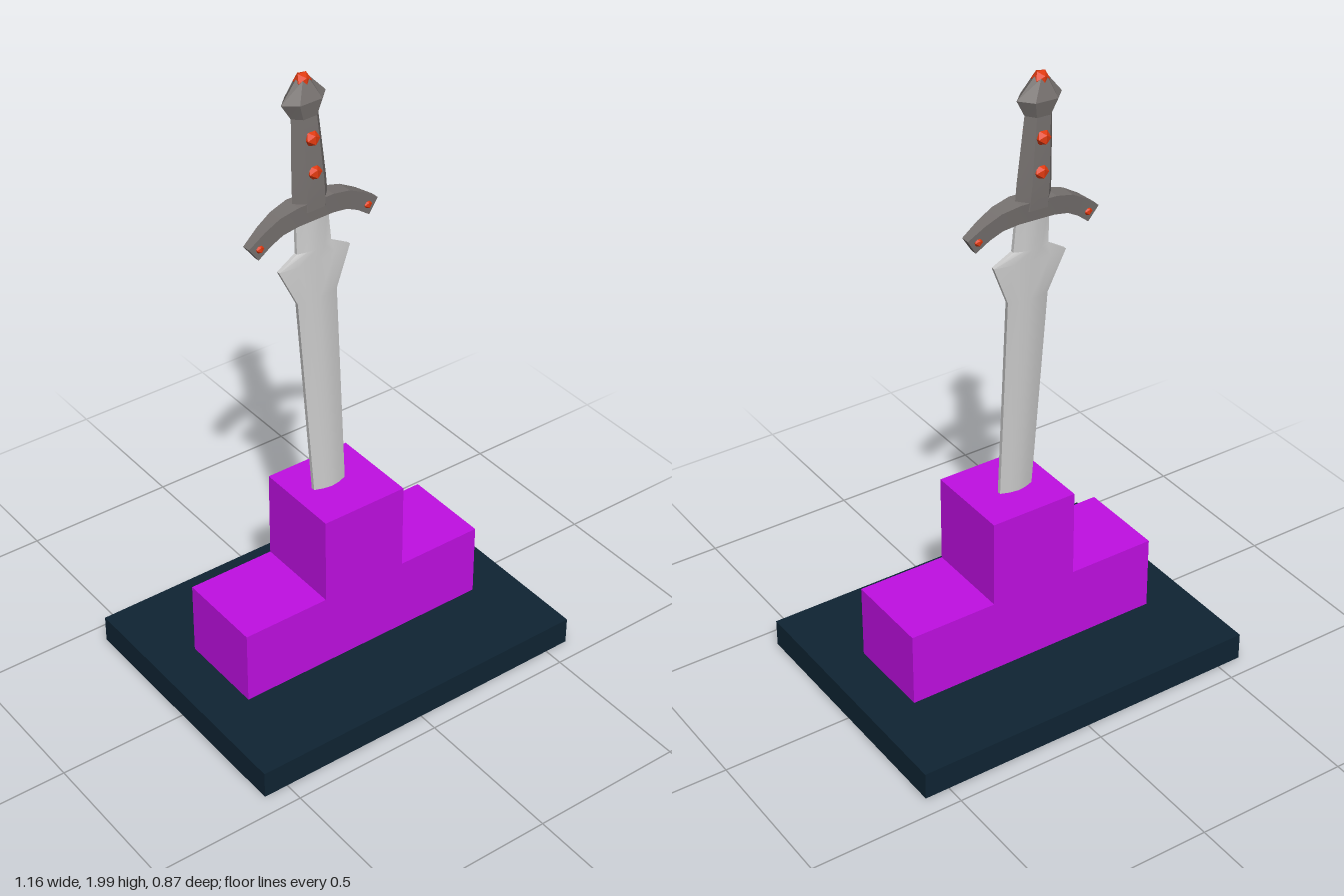
import * as THREE from 'three';
import { toCreasedNormals } from 'three/addons/utils/BufferGeometryUtils.js';

const mat = (color, flatShading = false) => new THREE.MeshStandardMaterial({ color, flatShading });

// Skin a list of equal-length rings and close both ends
function loft(rings, crease) {
  const n = rings[0].length, index = [];
  for (let r = 0; r < rings.length - 1; r++) {
    for (let i = 0; i < n; i++) {
      const j = (i + 1) % n, a = r * n, b = a + n;
      index.push(a + i, a + j, b + j, a + i, b + j, b + i);
    }
  }
  const top = (rings.length - 1) * n;
  for (let i = 1; i < n - 1; i++) {
    index.push(0, i + 1, i, top, top + i, top + i + 1);
  }
  const geo = new THREE.BufferGeometry();
  geo.setAttribute('position', new THREE.Float32BufferAttribute(rings.flat(2), 3));
  geo.setIndex(index);
  geo.computeVertexNormals();
  return toCreasedNormals(geo, crease);
}

function add(parent, name, geometry, material, x = 0, y = 0, z = 0) {
  const mesh = new THREE.Mesh(geometry, material);
  mesh.name = name;
  mesh.position.set(x, y, z);
  parent.add(mesh);
  return mesh;
}

export function createModel() {
  const model = new THREE.Group();
  model.name = 'swordOnPedestal';
  const purple = mat(0xbf0fe2), navy = mat(0x0f2433), steel = mat(0xcccccc);
  const iron = mat(0x777270), red = mat(0xe03a10, true);

  // Stand: slab, wide step and central block
  add(model, 'baseSlab', new THREE.BoxGeometry(1.16, 0.09, 0.87), navy, 0, 0.045, 0);
  add(model, 'pedestalStep', new THREE.BoxGeometry(0.87, 0.245, 0.29), purple, 0, 0.2125, 0);
  add(model, 'pedestalBlock', new THREE.BoxGeometry(0.29, 0.29, 0.29), purple, 0, 0.48, 0);

  // Sword leans slightly, pivoting where it enters the block
  const sword = new THREE.Group();
  sword.name = 'sword';
  sword.position.set(-0.018, 0.625, -0.014);
  sword.rotation.set(-0.036, 0, 0.036);
  model.add(sword);

  // Blade: lens section with blunt edges; [y, half width, half thickness]
  const bladeRing = ([y, w, d]) => [
    [1, -0.3], [0.5, -0.8], [0, -1], [-0.5, -0.8], [-1, -0.3],
    [-1, 0.3], [-0.5, 0.8], [0, 1], [0.5, 0.8], [1, 0.3],
  ].map(([x, z]) => [x * w, y, z * d]);
  const blade = [
    [-0.1, 0.055, 0.021], [0, 0.057, 0.021], [0.664, 0.069, 0.02],
    [0.79, 0.124, 0.019], [0.826, 0.06, 0.019], [0.95, 0.055, 0.018],
  ];
  add(sword, 'blade', loft(blade.map(bladeRing), 0.45), steel);

  // Crossguard: drooping bar tapering to its ends
  // [top x, top y, bottom x, bottom y, half depth]
  const half = [
    [0.06, 0.987, 0.06, 0.925, 0.031],
    [0.12, 0.973, 0.11, 0.915, 0.025],
    [0.17, 0.946, 0.15, 0.894, 0.02],
    [0.223, 0.908, 0.192, 0.862, 0.014],
  ];
  const mirrored = half.map(([a, b, c, d, e]) => [-a, b, -c, d, e]).reverse();
  const guard = [...mirrored, ...half].map(([tx, ty, bx, by, d]) => [
    [tx, ty, -d], [tx, ty, d], [bx, by, d * 0.8], [bx, by, -d * 0.8],
  ]);
  add(sword, 'crossguard', loft(guard, 0.2), iron);

  // Grip and flared pommel: six-sided; [y, half width, half depth]
  const gripRing = ([y, w, d]) => [
    [1, 0], [0.5, -1], [-0.5, -1], [-1, 0], [-0.5, 1], [0.5, 1],
  ].map(([x, z]) => [x * w, y, z * d]);
  const grip = [
    [0.96, 0.061, 0.031], [1.04, 0.059, 0.034], [1.245, 0.046, 0.027],
    [1.295, 0.075, 0.037], [1.355, 0.022, 0.018],
  ];
  add(sword, 'grip', loft(grip.map(gripRing), 0.2), iron);

  // Gems on pommel, grip and guard ends
  const gem = (name, r, x, y, z) => add(sword, name, new THREE.IcosahedronGeometry(r, 0), red, x, y, z);
  gem('pommelGem', 0.026, 0, 1.348, 0);
  for (const side of [-1, 1]) {
    for (const y of [1.078, 1.182]) gem('gripGem', 0.025, 0, y, side * 0.026);
    for (const x of [-0.187, 0.187]) gem('guardGem', 0.015, x, 0.898, side * 0.01);
  }
  return model;
}
